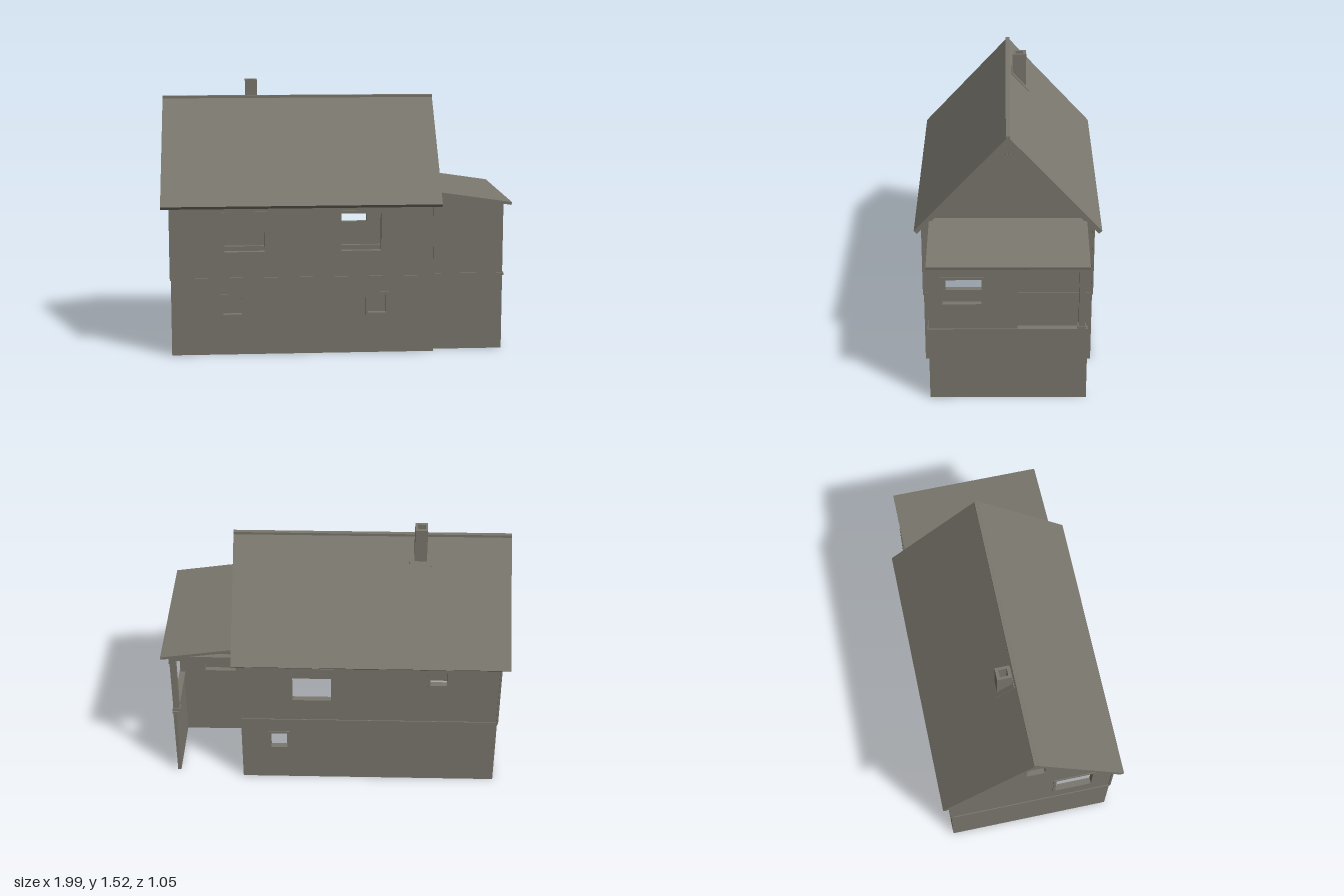
import * as THREE from 'three';

const stone = new THREE.MeshStandardMaterial({ color: 0x7b786e });
stone.name = 'warm grey';

export function createModel() {
  const root = new THREE.Group();
  root.name = 'house';

  const add = (name, geo) => {
    const m = new THREE.Mesh(geo, stone);
    m.name = name;
    root.add(m);
    return m;
  };
  // Box given by its two extreme corners
  const box = (name, x0, x1, y0, y1, z0, z1) =>
    add(name, new THREE.BoxGeometry(x1 - x0, y1 - y0, z1 - z0)
      .translate((x0 + x1) / 2, (y0 + y1) / 2, (z0 + z1) / 2));

  const rect = (a, b, c, d) => [[a, c], [b, c], [b, d], [a, d]];
  const vec = pts => pts.map(p => new THREE.Vector2(p[0], p[1]));
  // Flat panel with holes: axis 'z' draws in x,y; axis 'x' draws in z,y
  const panel = (name, axis, at, t, outline, holes = []) => {
    const s = new THREE.Shape(vec(outline));
    holes.forEach(h => s.holes.push(new THREE.Path(vec(h))));
    const g = new THREE.ExtrudeGeometry(s, { depth: t, bevelEnabled: false });
    if (axis === 'z') g.translate(0, 0, at);
    else g.rotateY(-Math.PI / 2).translate(at + t, 0, 0);
    return add(name, g);
  };
  // Wall with rectangular openings, each with a slim frame
  const wall = (name, axis, at, t, outline, openings = []) => {
    panel(name, axis, at, t, outline, openings.map(o => rect(...o)));
    openings.forEach(([a, b, c, d]) => {
      const f = 0.012;
      panel(name + 'Frame', axis, at - 0.005, t + 0.01,
        rect(a - f, b + f, c - f, d + f), [rect(a + 0.003, b - 0.003, c + 0.003, d - 0.003)]);
    });
  };

  const T = 0.025, W = 0.48, X0 = -0.95, X1 = 0.54;
  const top = 0.87, ridge = 1.43, slope = 1.086;

  // Long walls
  wall('frontWall', 'z', W - T, T, rect(X0, X1, 0, top), [
    [-0.65, -0.42, 0.59, 0.81], [0.01, 0.24, 0.59, 0.81],
    [-0.66, -0.55, 0.23, 0.34], [0.16, 0.27, 0.23, 0.34]]);
  wall('backWall', 'z', -W, T, rect(X0, X1, 0, top), [
    [-0.65, -0.55, 0.71, 0.81], [0.01, 0.24, 0.59, 0.81], [0.27, 0.37, 0.23, 0.34]]);

  // Gable walls
  const gable = [[-W, 0], [W, 0], [W, top], [0, 1.39], [-W, top]];
  wall('rightGableWall', 'x', X0, T, gable,
    [[0.14, 0.36, 0.59, 0.81], [-0.04, 0.07, 1.06, 1.18]]);
  wall('leftGableWall', 'x', X1 - T, T, gable, [[0.14, 0.36, 0.46, 0.8]]);

  // Storey band outside and ledge inside
  [-1, 1].forEach(s => {
    const zo = s * (W + 0.005), zi = s * (W - 0.05);
    box('storeyBand', X0 - 0.005, X1 + 0.005, 0.432, 0.446, Math.min(zo, zi), Math.max(zo, zi));
  });
  box('storeyBandEnd', X0 - 0.005, X0 + 0.05, 0.432, 0.446, -W, W);
  box('storeyBandEnd', X1 - 0.05, X1 + 0.005, 0.432, 0.446, -W, W);

  // Corner boards on the upper storey
  [X0, X1].forEach(x => [-W, W].forEach(z =>
    box('cornerBoard', x - 0.006, x + 0.006, 0.446, top, z - 0.006, z + 0.006)));

  // Pitched roof as one chevron profile
  const e = 0.525, th = 0.04;
  const chevron = (r, half, t) => [
    [0, r], [-half, r - half * slope], [-half + 0.018, r - half * slope - 0.017],
    [0, r - t], [half - 0.018, r - half * slope - 0.017], [half, r - half * slope]];
  panel('mainRoof', 'x', -1, 1.58, chevron(ridge, e, th));
  box('ridgeCap', -1, 0.58, 1.415, 1.432, -0.012, 0.012);

  // Bargeboards and pierced, toothed ornaments under both gable peaks
  [-0.985, 0.555].forEach(x => {
    panel('bargeboard', 'x', x, 0.012, chevron(ridge - 0.015, 0.5, 0.055));
    const teeth = [[0, 1.41]], n = 8, w = 0.085;
    for (let i = 0; i <= n * 2; i++)
      teeth.push([-w + (w * i) / n, i % 2 ? 1.29 : 1.31]);
    const diamonds = [];
    for (let i = -3; i <= 3; i++) {
      const z = i * 0.021, y = 1.325;
      diamonds.push([[z - 0.007, y], [z, y - 0.009], [z + 0.007, y], [z, y + 0.009]]);
    }
    panel('gableOrnament', 'x', x + 0.002, 0.008, teeth, diamonds);
  });

  // Hollow chimney and its flashing
  const flue = new THREE.Shape(vec(rect(-0.52, -0.45, 0.03, 0.112)));
  flue.holes.push(new THREE.Path(vec(rect(-0.505, -0.465, 0.048, 0.094))));
  add('chimney', new THREE.ExtrudeGeometry(flue, { depth: 0.25, bevelEnabled: false })
    .rotateX(-Math.PI / 2).translate(0, 1.27, 0));
  const flashing = box('chimneyFlashing', -0.0625, 0.0625, -0.004, 0.004, -0.08, 0.08);
  flashing.position.set(-0.483, ridge - 0.075 * slope + 0.002, -0.075);
  flashing.rotation.x = -Math.atan(slope);

  // Porch room walls
  const P = 0.94, Z = 0.435, D = -0.05;
  const side = [[X1, 0], [P, 0], [P, 0.852], [X1, 0.908]];
  wall('porchFrontWall', 'z', Z - 0.02, 0.02, side);
  wall('porchInnerWall', 'z', D, 0.02, side, [[0.6, 0.79, 0.46, 0.8]]);
  wall('porchOuterWall', 'x', P - 0.02, 0.02, rect(D, Z, 0, 0.85), [[0.14, 0.36, 0.6, 0.755]]);
  box('porchBand', P - 0.02, P + 0.006, 0.432, 0.446, D, Z + 0.006);
  box('porchBand', X1, P + 0.006, 0.432, 0.446, Z - 0.01, Z + 0.006);

  // Open veranda: parapet, rail, post and beams
  box('verandaParapet', P - 0.02, P, 0, 0.435, -Z, D);
  box('verandaRail', P - 0.03, P + 0.006, 0.435, 0.447, -Z, D);
  box('verandaPost', P - 0.035, P, 0.447, 0.82, -0.42, -0.385);
  box('postBase', P - 0.04, P + 0.004, 0.447, 0.462, -0.425, -0.38);
  box('postCap', P - 0.04, P + 0.004, 0.797, 0.812, -0.425, -0.38);
  box('verandaBeam', P - 0.035, P, 0.812, 0.85, -Z, D);
  box('verandaBackBeam', X1, P, 0.82, 0.85, -Z + 0.01, -Z + 0.04);

  // Lean-to porch roof
  panel('porchRoof', 'z', -0.44, 0.88,
    [[X1, 0.903], [0.985, 0.838], [0.988, 0.854], [X1, 0.92]]);

  return root;
}
